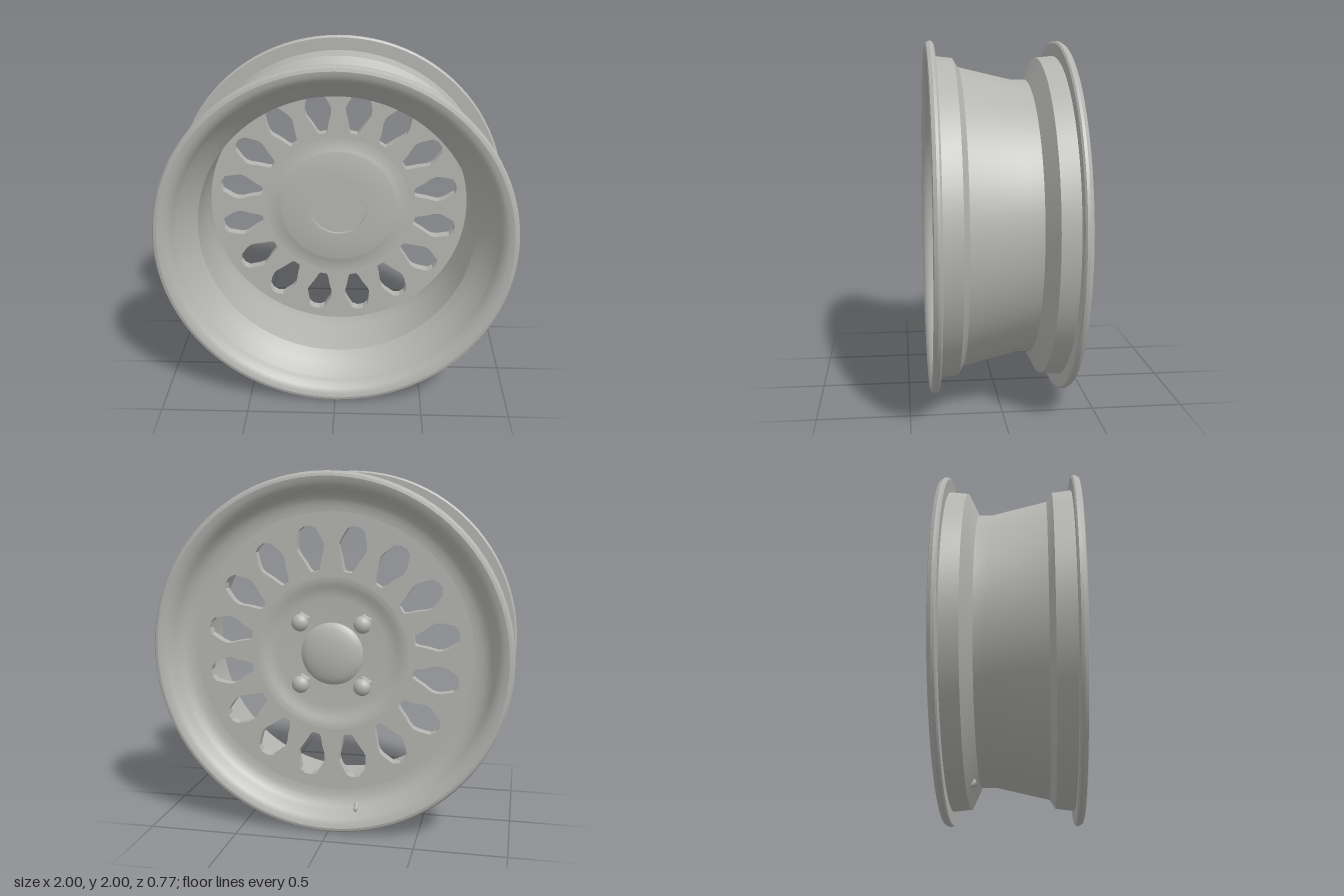
import * as THREE from 'three';
import { toCreasedNormals } from 'three/addons/utils/BufferGeometryUtils.js';

const SIDES = 96;
const metal = new THREE.MeshStandardMaterial({ color: 0xb4b4b1 });
metal.name = 'grey metal';

// Revolves a [radius, z] profile around the z axis.
function turned(name, profile, crease = 0.45) {
  const lathe = new THREE.LatheGeometry(profile.map(([r, z]) => new THREE.Vector2(r, z)), SIDES);
  lathe.rotateX(Math.PI / 2);
  const mesh = new THREE.Mesh(toCreasedNormals(lathe, crease), metal);
  mesh.name = name;
  return mesh;
}

// Flat ring pierced by pointed windows.
function windowRing() {
  const shape = new THREE.Shape().absarc(0, 0, 0.785, 0, Math.PI * 2, false);
  shape.holes.push(new THREE.Path().absarc(0, 0, 0.43, 0, Math.PI * 2, true));
  const half = [[0.466, 0.02], [0.482, 0.031], [0.53, 0.049], [0.58, 0.073], [0.605, 0.078], [0.635, 0.073], [0.7, 0.048], [0.717, 0.018]];
  const outline = [...half, ...half.map(([r, w]) => [r, -w]).reverse()];
  for (let i = 0; i < 16; i++) {
    const a = (i + 0.5) * Math.PI / 8;
    const c = Math.cos(a), s = Math.sin(a);
    shape.holes.push(new THREE.Path(outline.map(([r, w]) => new THREE.Vector2(r * c - w * s, r * s + w * c))));
  }
  const geo = new THREE.ExtrudeGeometry(shape, { depth: 0.06, bevelEnabled: false, curveSegments: SIDES / 2 });
  geo.translate(0, 0, -0.26);
  const mesh = new THREE.Mesh(toCreasedNormals(geo, 0.3), metal);
  mesh.name = 'windowRing';
  return mesh;
}

// Six-sided nut with a domed end pointing to -z.
function wheelNut(x, y) {
  const nut = new THREE.Group();
  nut.name = 'wheelNut';
  const hex = new THREE.CylinderGeometry(0.055, 0.055, 0.045, 6);
  hex.rotateX(Math.PI / 2);
  const body = new THREE.Mesh(toCreasedNormals(hex, 0.3), metal);
  body.name = 'nutBody';
  body.position.z = -0.255;
  const dome = new THREE.Mesh(new THREE.SphereGeometry(0.049, 20, 12), metal);
  dome.name = 'nutDome';
  dome.scale.z = 0.8;
  dome.position.z = -0.275;
  nut.add(body, dome);
  nut.position.set(x, y, 0);
  return nut;
}

export function createModel() {
  const model = new THREE.Group();
  model.name = 'wheelRim';
  const wheel = new THREE.Group();
  wheel.name = 'wheel';
  wheel.position.y = 1;
  model.add(wheel);

  // Barrel: outer dish, lip, drop centre, inner lip, then back along the inside
  wheel.add(turned('barrel', [
    [0.785, -0.26], [0.805, -0.262], [0.83, -0.267], [0.855, -0.277], [0.877, -0.294], [0.893, -0.317], [0.908, -0.345],
    [0.925, -0.364], [0.947, -0.378], [0.973, -0.385], [0.988, -0.381], [1, -0.362], [1, -0.347], [0.99, -0.338],
    [0.917, -0.338], [0.907, -0.238], [0.785, -0.18], [0.785, -0.1], [0.855, 0.2], [0.872, 0.212], [0.905, 0.232],
    [0.917, 0.338], [0.99, 0.338], [1, 0.347], [1, 0.362], [0.99, 0.38], [0.973, 0.385], [0.947, 0.38],
    [0.924, 0.366], [0.906, 0.345], [0.893, 0.318], [0.885, 0.3], [0.83, 0.235], [0.785, 0.165], [0.771, -0.1],
    [0.77, -0.207], [0.785, -0.26],
  ]));

  wheel.add(windowRing());

  // Recessed hub
  wheel.add(turned('hub', [
    [0, -0.235], [0.31, -0.235], [0.335, -0.237], [0.36, -0.243], [0.385, -0.252], [0.405, -0.258], [0.43, -0.26],
    [0.43, -0.2], [0.405, -0.198], [0.38, -0.194], [0.358, -0.188], [0.342, -0.183],
    [0.175, -0.183], [0.175, -0.203], [0, -0.203],
  ]));

  // Domed centre cap
  wheel.add(turned('centreCap', [
    [0, -0.285], [0.05, -0.283], [0.1, -0.277], [0.14, -0.267], [0.165, -0.256], [0.175, -0.246], [0.175, -0.23],
  ]));

  for (const x of [-0.175, 0.175]) for (const y of [-0.175, 0.175]) wheel.add(wheelNut(x, y));

  // Valve stem passing through the dish near the bottom
  const from = new THREE.Vector3(-0.145, -0.83, -0.19);
  const to = new THREE.Vector3(-0.15, -0.876, -0.33);
  const axis = to.clone().sub(from);
  const valve = new THREE.Mesh(new THREE.CylinderGeometry(0.01, 0.022, axis.length(), 16), metal);
  valve.name = 'valveStem';
  valve.position.copy(from).add(to).multiplyScalar(0.5);
  valve.quaternion.setFromUnitVectors(new THREE.Vector3(0, 1, 0), axis.normalize());
  wheel.add(valve);

  return model;
}
